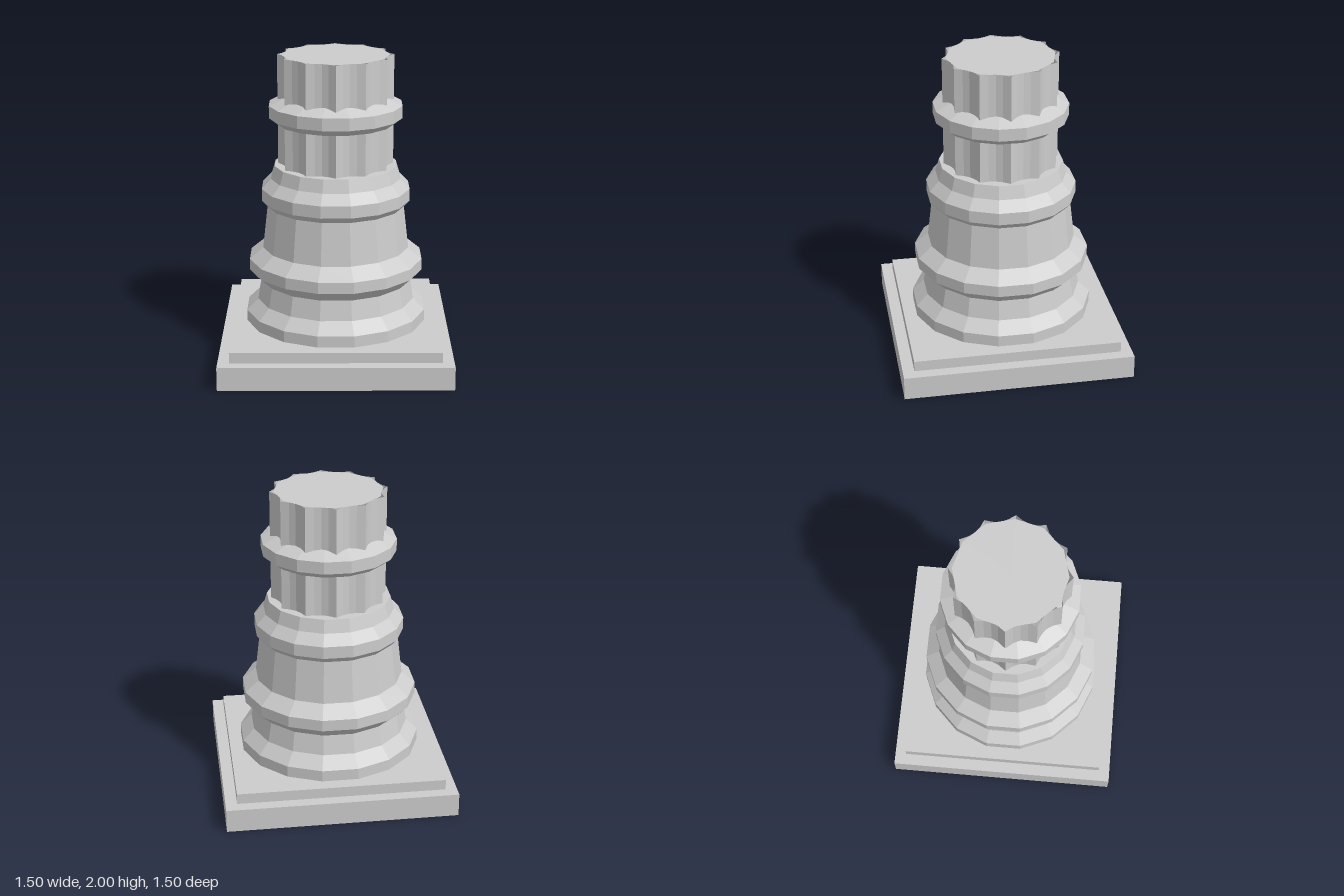
import * as THREE from 'three';

const SIDES = 16;
const stone = new THREE.MeshStandardMaterial({ color: 0xcccccc, side: THREE.DoubleSide });
stone.name = 'stone grey';

// faceted mesh: every face keeps its own normal
function addPart(group, name, geometry) {
  const flat = geometry.index ? geometry.toNonIndexed() : geometry;
  flat.computeVertexNormals();
  const mesh = new THREE.Mesh(flat, stone);
  mesh.name = name;
  group.add(mesh);
  return mesh;
}

// turned moulding with flat facets facing the axes; radii are measured to the facets
function turned(profile) {
  const k = 1 / Math.cos(Math.PI / SIDES);
  const points = profile.map(([r, y]) => new THREE.Vector2(r * k, y));
  return new THREE.LatheGeometry(points, SIDES, Math.PI / SIDES);
}

// open tube with concave flutes meeting in sharp ridges
function flutedTube(ridge, depth, flutes, steps, height) {
  const g = new THREE.CylinderGeometry(1, 1, height, flutes * steps, 1, true);
  const p = g.attributes.position;
  for (let i = 0; i < p.count; i++) {
    const angle = Math.atan2(p.getX(i), p.getZ(i));
    const t = ((angle / (2 * Math.PI)) * flutes + flutes + 1e-5) % 1;
    const r = ridge - depth * 4 * t * (1 - t);
    p.setXYZ(i, r * Math.sin(angle), p.getY(i) + height / 2, r * Math.cos(angle));
  }
  return g;
}

export function createModel() {
  const group = new THREE.Group();
  group.name = 'columnBase';

  // square plinth in two steps
  addPart(group, 'lowerPlinth', new THREE.BoxGeometry(1.5, 0.155, 1.5)).position.y = 0.0775;
  addPart(group, 'upperPlinth', new THREE.BoxGeometry(1.35, 0.07, 1.35)).position.y = 0.19;

  // stacked mouldings of the base
  addPart(group, 'baseMoulding', turned([
    [0.588, 0.225], [0.588, 0.3], [0.514, 0.375], [0.488, 0.505],
    [0.565, 0.58], [0.565, 0.655], [0.477, 0.73], [0.445, 1.01],
    [0.48, 1.05], [0.48, 1.13], [0.42, 1.195], [0.395, 1.28], [0.3, 1.28],
  ]));

  // fluted shaft and its cap
  addPart(group, 'flutedShaft', flutedTube(0.375, 0.04, 12, 4, 2));
  const cap = new THREE.CircleGeometry(0.35, 12).rotateX(-Math.PI / 2);
  addPart(group, 'shaftCap', cap).position.y = 1.999;

  // collar around the shaft
  addPart(group, 'collar', turned([
    [0.3, 1.557], [0.375, 1.557], [0.428, 1.6], [0.428, 1.68], [0.32, 1.73],
  ]));

  return group;
}
